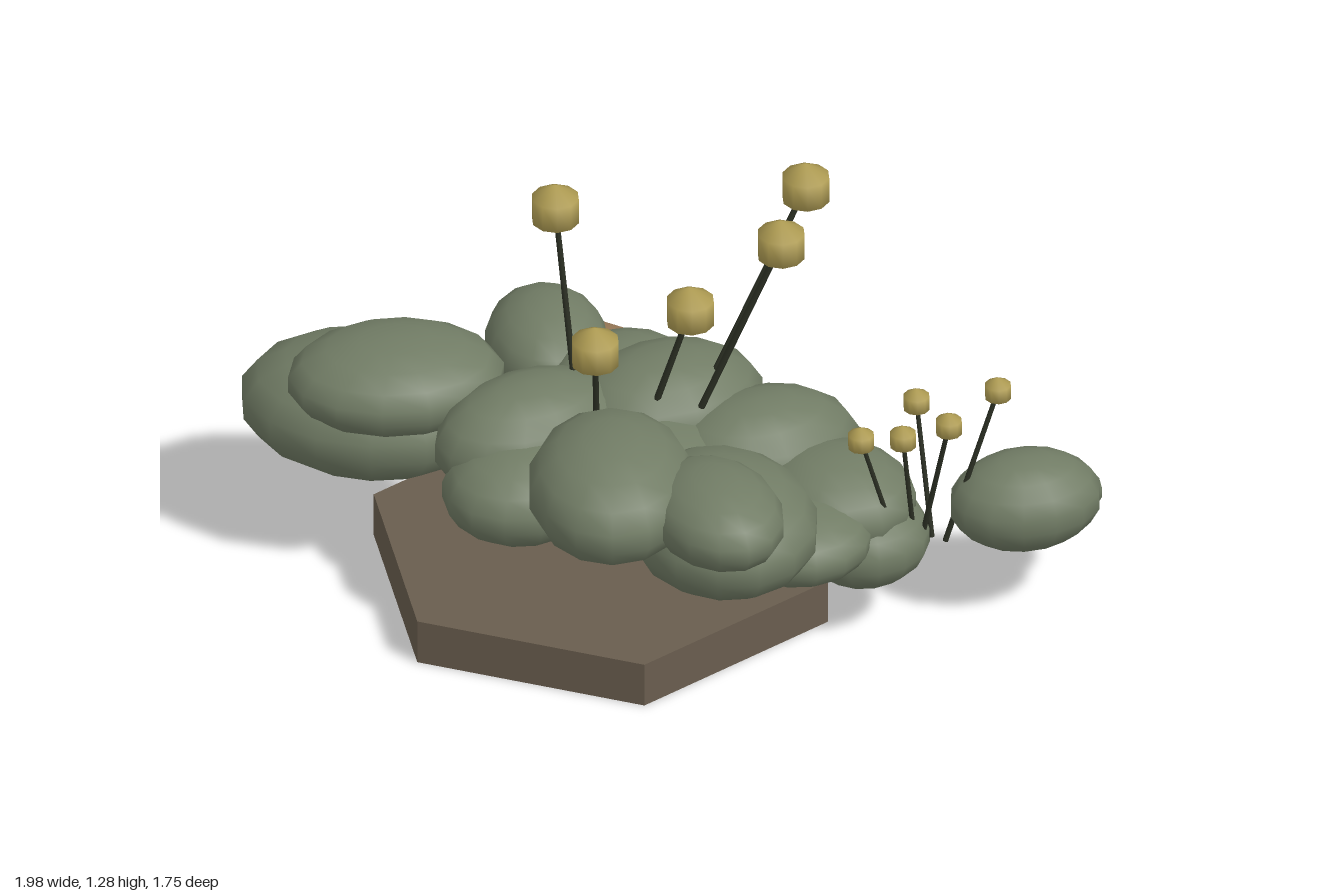
import * as THREE from 'three';

const mat = (name, color) => {
  const m = new THREE.MeshStandardMaterial({ color });
  m.name = name;
  return m;
};

export function createModel() {
  const root = new THREE.Group();
  root.name = 'cushionPlant';
  const leafGreen = mat('leafGreen', 0x717c65);
  const stoneBrown = mat('stoneBrown', 0x977857);
  const slabBrown = mat('slabBrown', 0x695d4e);
  const stemDark = mat('stemDark', 0x2c3024);
  const budGold = mat('budGold', 0xb19e54);

  const add = (name, geo, material, parent = root) => {
    const mesh = new THREE.Mesh(geo, material);
    mesh.name = name;
    parent.add(mesh);
    return mesh;
  };
  const group = (name) => {
    const g = new THREE.Group();
    g.name = name;
    root.add(g);
    return g;
  };

  // Hexagonal slab
  const slabGeo = new THREE.CylinderGeometry(0.675, 0.675, 0.135, 6).toNonIndexed();
  slabGeo.computeVertexNormals();
  add('slab', slabGeo, slabBrown).position.set(-0.07, 0.0675, 0.197);

  // Flattened rounded lumps: centre, radii, turn about y in degrees
  const lump = new THREE.SphereGeometry(1, 14, 9);
  const addLump = (name, material, parent, [x, y, z, rx, ry, rz, turn]) => {
    const m = add(name, lump, material, parent);
    m.position.set(x, y, z);
    m.scale.set(rx, ry, rz);
    m.rotation.y = THREE.MathUtils.degToRad(turn);
  };

  addLump('pebble', stoneBrown, root, [-0.757, 0.165, -0.35, 0.2, 0.088, 0.16, 20]);

  const cushion = group('cushion');
  [
    [-0.65, 0.45, 0.56, 0.37, 0.185, 0.28, 35],   // front right pair
    [-0.54, 0.585, 0.55, 0.31, 0.135, 0.235, 57],
    [-0.61, 0.41, -0.065, 0.24, 0.14, 0.175, -33], // back right pair
    [-0.32, 0.375, -0.1, 0.21, 0.165, 0.24, -15],
    [-0.165, 0.51, 0.37, 0.2, 0.17, 0.3, -10],    // front middle
    [-0.05, 0.44, 0.49, 0.22, 0.145, 0.25, 0],
    [0.31, 0.605, 0.48, 0.32, 0.17, 0.24, -40],   // front left
    [0.6, 0.6, 0.345, 0.25, 0.125, 0.185, -18],
    [0.48, 0.46, 0.22, 0.31, 0.175, 0.27, -20],
    [0.05, 0.42, 0.2, 0.32, 0.17, 0.32, 0],       // core
    [-0.04, 0.505, -0.01, 0.22, 0.17, 0.3, -12],
    [0.22, 0.42, -0.14, 0.21, 0.18, 0.3, -15],    // back left
    [0.48, 0.38, -0.19, 0.24, 0.14, 0.22, 20],
    [0.56, 0.36, 0, 0.2, 0.11, 0.21, 0],
    [0.58, 0.285, -0.22, 0.18, 0.135, 0.19, 0],
    [0.816, 0.36, -0.61, 0.22, 0.14, 0.165, 65],  // outlying tuft
    [0.8, 0.31, -0.73, 0.115, 0.08, 0.15, 0],
  ].forEach((p, i) => addLump('pad' + (i + 1), leafGreen, cushion, p));

  // Flower: straight stem from base to a faceted round bud
  const flowers = group('flowers');
  const addFlower = (base, tip, budRadius, stemRadius) => {
    const a = new THREE.Vector3(...base), b = new THREE.Vector3(...tip);
    const dir = b.clone().sub(a);
    const stem = add('stem', new THREE.CylinderGeometry(stemRadius * 0.85, stemRadius, dir.length(), 6), stemDark, flowers);
    stem.position.copy(a).lerp(b, 0.5);
    stem.quaternion.setFromUnitVectors(new THREE.Vector3(0, 1, 0), dir.normalize());
    add('bud', new THREE.SphereGeometry(budRadius, 10, 3), budGold, flowers).position.copy(b);
  };

  // Tall flowers
  [
    [[-0.16, 0.55, 0.21], [-0.245, 1.15, 0.215]],
    [[0.065, 0.6, -0.09], [0.185, 1.2, -0.34]],
    [[0.15, 0.6, 0.015], [0.325, 1.165, -0.13]],
    [[0.06, 0.6, 0.11], [0.15, 0.935, 0.055]],
    [[0.08, 0.6, 0.34], [0.15, 0.945, 0.405]],
  ].forEach(([a, b]) => addFlower(a, b, 0.078, 0.01));

  // Short flowers on the back left edge
  [
    [[0.705, 0.25, -0.41], [0.78, 0.73, -0.54]],
    [[0.7, 0.28, -0.365], [0.61, 0.675, -0.385]],
    [[0.69, 0.28, -0.335], [0.82, 0.72, -0.325]],
    [[0.69, 0.28, -0.31], [0.71, 0.655, -0.25]],
    [[0.69, 0.3, -0.245], [0.67, 0.68, -0.13]],
  ].forEach(([a, b]) => addFlower(a, b, 0.043, 0.008));

  return root;
}
